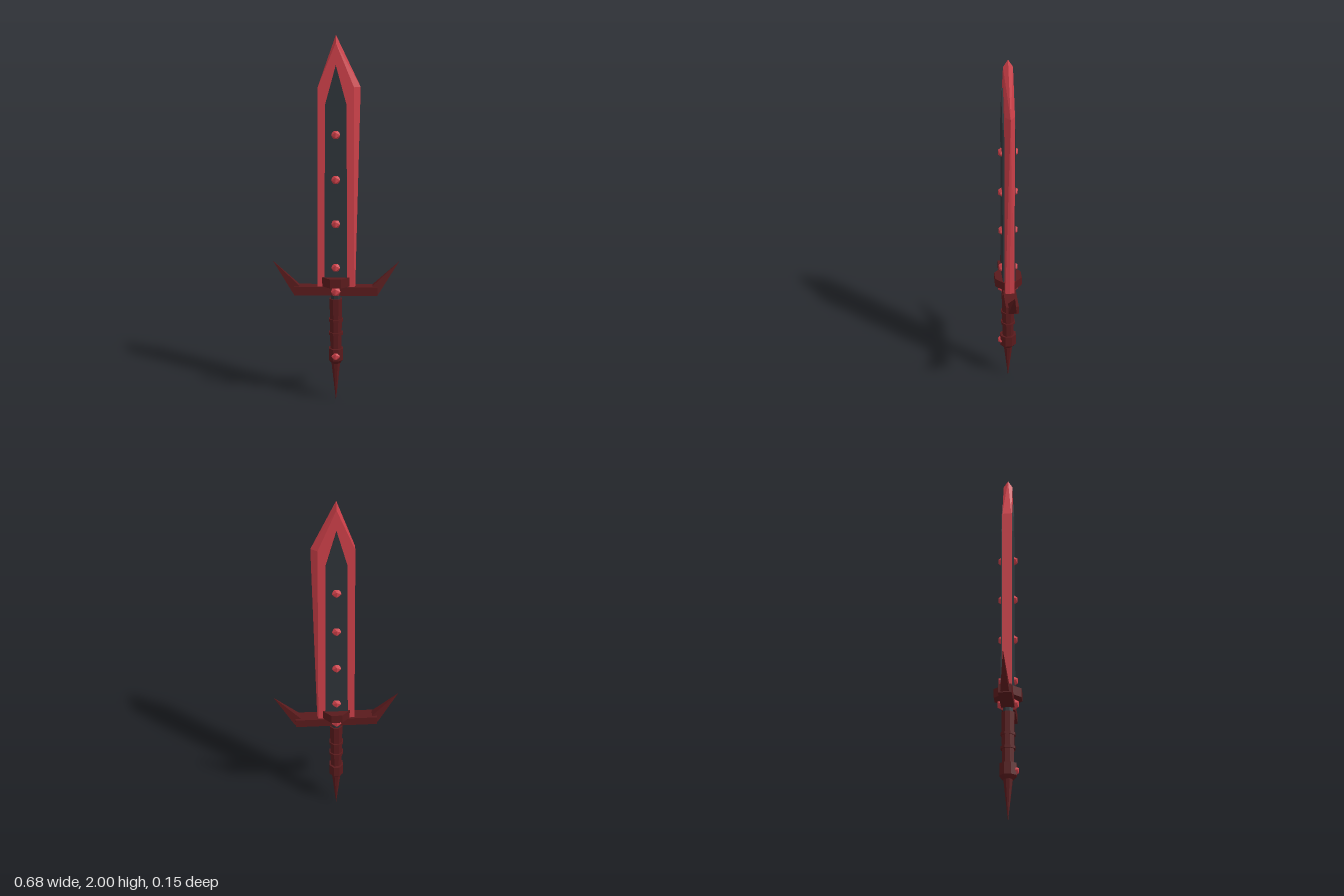
import * as THREE from 'three';
import { ConvexGeometry } from 'three/addons/geometries/ConvexGeometry.js';

export function createModel() {
  const sword = new THREE.Group();
  sword.name = 'sword';

  const material = (name, color) => {
    const m = new THREE.MeshStandardMaterial({ color, flatShading: true });
    m.name = name;
    return m;
  };
  const red = material('crimson', 0xcb3f48);
  const darkRed = material('dark maroon', 0x591a1c);
  const grey = material('charcoal', 0x2d3338);

  const add = (name, geometry, mat, x = 0, y = 0, z = 0) => {
    const mesh = new THREE.Mesh(geometry, mat);
    mesh.name = name;
    mesh.position.set(x, y, z);
    sword.add(mesh);
    return mesh;
  };
  const hull = (points) => new ConvexGeometry(points.map((p) => new THREE.Vector3(...p)));
  // Eight-sided drum with flat sides facing front and side
  const drum = (name, top, bottom, y0, y1, mat) => {
    const k = 1 / Math.cos(Math.PI / 8);
    const g = new THREE.CylinderGeometry(top * k, bottom * k, y1 - y0, 8).rotateY(Math.PI / 8);
    return add(name, g, mat, 0, (y0 + y1) / 2);
  };

  // Blade: blunt on one side, bevelled cutting edge on the other
  const bladePoints = [[0.105, 0.64, 0], [0.13, 1.73, 0], [0, 2, 0], [-0.095, 1.73, 0]];
  for (const z of [-0.025, 0.025]) {
    bladePoints.push([-0.1, 0.64, z], [-0.095, 1.73, z], [0, 1.96, z], [0.095, 1.73, z], [0.1, 0.64, z]);
  }
  add('blade', hull(bladePoints), red);

  // Dark core panel standing proud of both blade faces
  const panel = new THREE.Shape([
    [-0.062, 0.64], [0.062, 0.64], [0.056, 1.64], [0, 1.845], [-0.056, 1.64],
  ].map((p) => new THREE.Vector2(...p)));
  const panelGeometry = new THREE.ExtrudeGeometry(panel, { depth: 0.068, bevelEnabled: false });
  add('corePanel', panelGeometry.translate(0, 0, -0.034), grey);

  // Faceted gems along the panel and on the guard, front and back
  const gem = (name, r, y, z) => add(name, new THREE.IcosahedronGeometry(r), red, 0, y, z);
  for (const side of [-1, 1]) {
    for (const y of [0.76, 1.0, 1.24, 1.48]) gem('bladeGem', 0.028, y, side * 0.028);
    gem('guardGem', 0.03, 0.628, side * 0.031);
  }

  // Guard bar, octagonal collar and swept horns
  add('guardBar', new THREE.BoxGeometry(0.45, 0.047, 0.07), darkRed, 0, 0.628);
  drum('collar', 0.073, 0.073, 0.655, 0.705, darkRed);
  for (const s of [-1, 1]) {
    const horn = [[s * 0.342, 0.79, 0]];
    for (const z of [-0.022, 0.022]) {
      horn.push([s * 0.23, 0.61, z], [s * 0.198, 0.655, z], [s * 0.2, 0.61, z]);
    }
    add('guardHorn', hull(horn), darkRed);
  }

  // Handle
  drum('neck', 0.026, 0.026, 0.57, 0.615, grey);
  drum('grip', 0.034, 0.03, 0.29, 0.58, darkRed);
  for (const y of [0.385, 0.46]) drum('gripRing', 0.038, 0.038, y - 0.007, y + 0.007, darkRed);

  // Pommel with front gem and spike
  drum('pommel', 0.038, 0.038, 0.235, 0.3, darkRed).scale.z = 1.15;
  drum('pommelTaper', 0.038, 0.024, 0.215, 0.235, darkRed).scale.z = 1.15;
  gem('pommelGem', 0.026, 0.262, 0.034);
  drum('pommelSpike', 0.024, 0.0005, 0, 0.217, darkRed);

  return sword;
}
